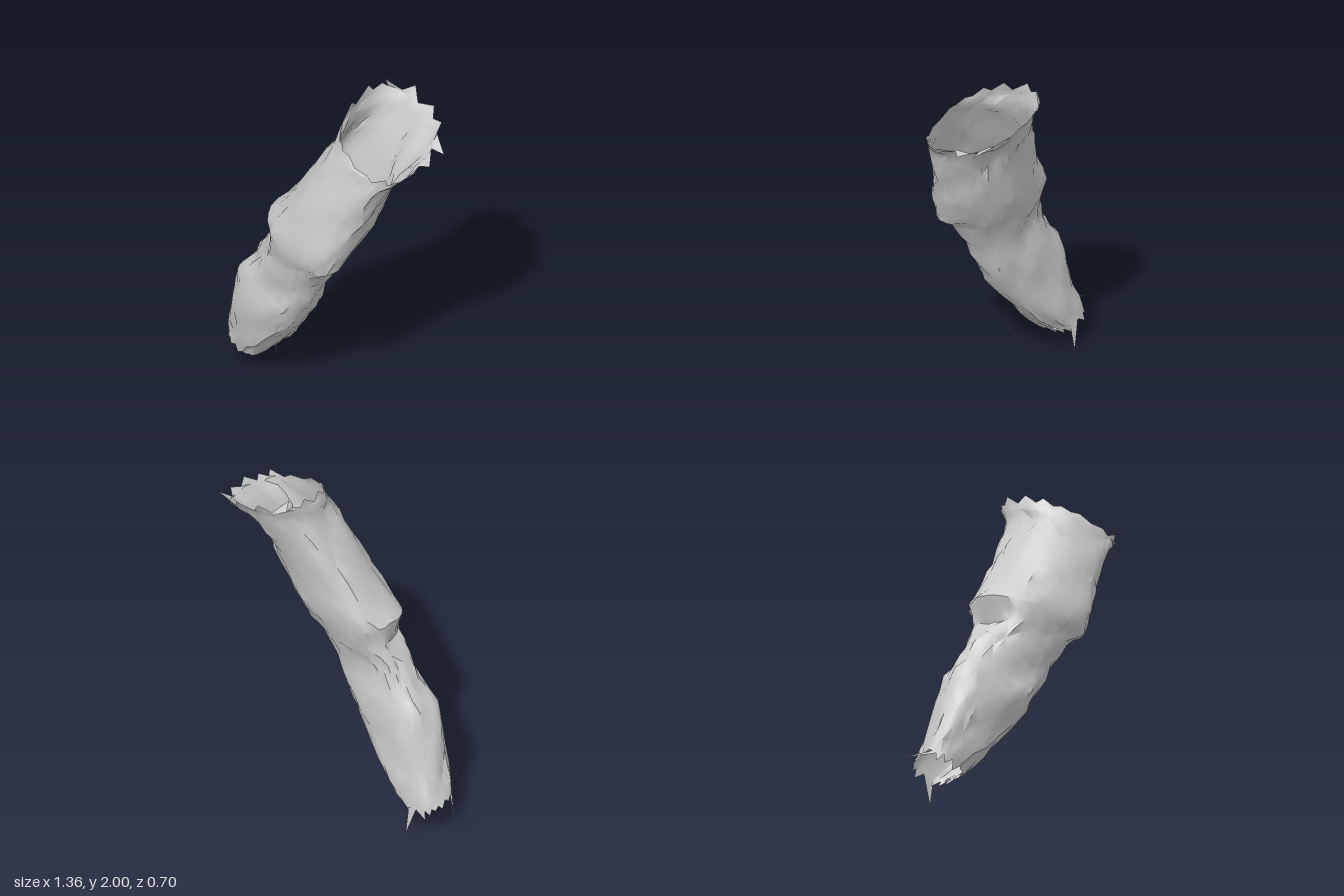
import * as THREE from 'three';
import { toCreasedNormals } from 'three/addons/utils/BufferGeometryUtils.js';

// Cross-sections: left x, y | right x, y | front z, back z | half rise and half shift in x from front to back
const RINGS = [
  [-0.58, 0.21, -0.36, 0.13, 0.22, -0.02, 0.0, 0.01],
  [-0.53, 0.36, -0.23, 0.26, 0.26, -0.02, 0.0, 0.0],
  [-0.49, 0.54, -0.11, 0.41, 0.29, -0.01, 0.0, 0.0],
  [-0.44, 0.70, 0.00, 0.56, 0.30, 0.00, 0.0, 0.01],
  [-0.34, 0.82, 0.08, 0.70, 0.28, 0.01, 0.0, 0.02],
  [-0.27, 0.95, 0.15, 0.86, 0.29, 0.01, 0.01, 0.03],
  [-0.20, 1.05, 0.23, 1.00, 0.32, -0.04, 0.02, 0.05],
  [-0.22, 1.19, 0.31, 1.08, 0.35, -0.08, 0.03, 0.06],
  [-0.11, 1.33, 0.38, 1.22, 0.33, -0.12, 0.04, 0.05],
  [0.00, 1.52, 0.43, 1.38, 0.29, -0.16, 0.05, 0.05],
  [0.09, 1.68, 0.48, 1.53, 0.25, -0.21, 0.06, 0.05],
  [0.15, 1.81, 0.55, 1.68, 0.21, -0.28, 0.07, 0.04],
  [0.15, 1.90, 0.63, 1.76, 0.18, -0.33, 0.07, 0.04],
];
const SEGMENTS = 32;

function seeded(seed) {
  return () => {
    seed = (seed * 16807) % 2147483647;
    return seed / 2147483647;
  };
}

// Point on a slightly squared oval, squarer on its right half
function ringPoint(ring, j) {
  const [lx, ly, rx, ry, front, back, rise, shift] = ring;
  const a = (j / SEGMENTS) * Math.PI * 2;
  const power = 0.76 - 0.06 * Math.cos(a);
  const [c, s] = [Math.cos(a), Math.sin(a)].map((v) => Math.sign(v) * Math.abs(v) ** power);
  return new THREE.Vector3(
    (lx + rx) / 2 + (c * (rx - lx)) / 2 + s * shift,
    (ly + ry) / 2 + (c * (ry - ly)) / 2 - s * rise,
    (front + back) / 2 + (s * (front - back)) / 2
  );
}

// Zigzag torn edge: every other point is drawn out past the end ring
function tornEdge(ring, previous, reach, rand, longThreads) {
  const row = [];
  for (let j = 0; j < SEGMENTS; j++) {
    const p = ringPoint(ring, j);
    const out = p.clone().sub(ringPoint(previous, j)).normalize();
    const tooth = j % 2 ? reach * (0.4 + 0.9 * rand()) : reach * 0.3 * rand();
    row.push(longThreads[j] ? new THREE.Vector3(...longThreads[j]) : p.addScaledVector(out, tooth));
  }
  return row;
}

function clothTube() {
  const rand = seeded(71);
  // A halfway ring between each pair gives the cloth room to crumple
  const rings = RINGS.flatMap((ring, i) =>
    i ? [ring.map((v, k) => (v + RINGS[i - 1][k]) / 2), ring] : [ring]
  );
  const n = rings.length;
  const rows = rings.map((ring, i) => {
    const rough = i === 0 || i === n - 1 ? 0.006 : 0.016;
    const centre = ringPoint(ring, 0).add(ringPoint(ring, SEGMENTS / 2)).multiplyScalar(0.5);
    return Array.from({ length: SEGMENTS }, (_, j) => {
      const p = ringPoint(ring, j);
      const out = p.clone().sub(centre).normalize();
      // Broad dents, a pinched fold under the mouth at the back, and fine crumpling
      const a = (j / SEGMENTS) * Math.PI * 2;
      const dent = 0.005 * Math.sin(5 * a + 1.3 * i) + 0.004 * Math.sin(3 * a - 0.9 * i);
      const pinch = 0.04 * Math.exp(-(((j - 27.5) / 1.6) ** 2) - ((i - 21) / 2) ** 2);
      p.addScaledVector(out, dent - pinch + (rand() - 0.5) * rough);
      p.y += (rand() - 0.5) * 0.02;
      return p;
    });
  });
  // Frayed ends, with a few longer loose threads
  rows.unshift(tornEdge(rings[0], rings[1], 0.05, rand, {
    13: [-0.68, 0.18, 0.05],
    25: [-0.43, 0.0, -0.04],
  }));
  rows.push(tornEdge(rings[n - 1], rings[n - 2], 0.06, rand, {
    21: [0.18, 2.0, -0.25],
    29: [0.68, 1.8, -0.22],
    31: [0.68, 1.77, -0.12],
  }));

  const positions = rows.flat().flatMap((p) => [p.x, p.y, p.z]);
  const index = [];
  for (let i = 0; i < rows.length - 1; i++) {
    for (let j = 0; j < SEGMENTS; j++) {
      const k = (j + 1) % SEGMENTS;
      const a = i * SEGMENTS + j, b = i * SEGMENTS + k;
      const c = a + SEGMENTS, d = b + SEGMENTS;
      // Alternate the diagonals so the creases look irregular
      if ((i + j) % 2) index.push(a, c, b, b, c, d);
      else index.push(a, c, d, a, d, b);
    }
  }
  const geometry = new THREE.BufferGeometry();
  geometry.setAttribute('position', new THREE.Float32BufferAttribute(positions, 3));
  geometry.setIndex(index);
  return toCreasedNormals(geometry, 0.6);
}

export function createModel() {
  const group = new THREE.Group();
  group.name = 'tornSleeve';
  const material = new THREE.MeshStandardMaterial({ color: 0xcccccc, side: THREE.DoubleSide });
  const sleeve = new THREE.Mesh(clothTube(), material);
  sleeve.name = 'sleeve';
  group.add(sleeve);
  return group;
}
